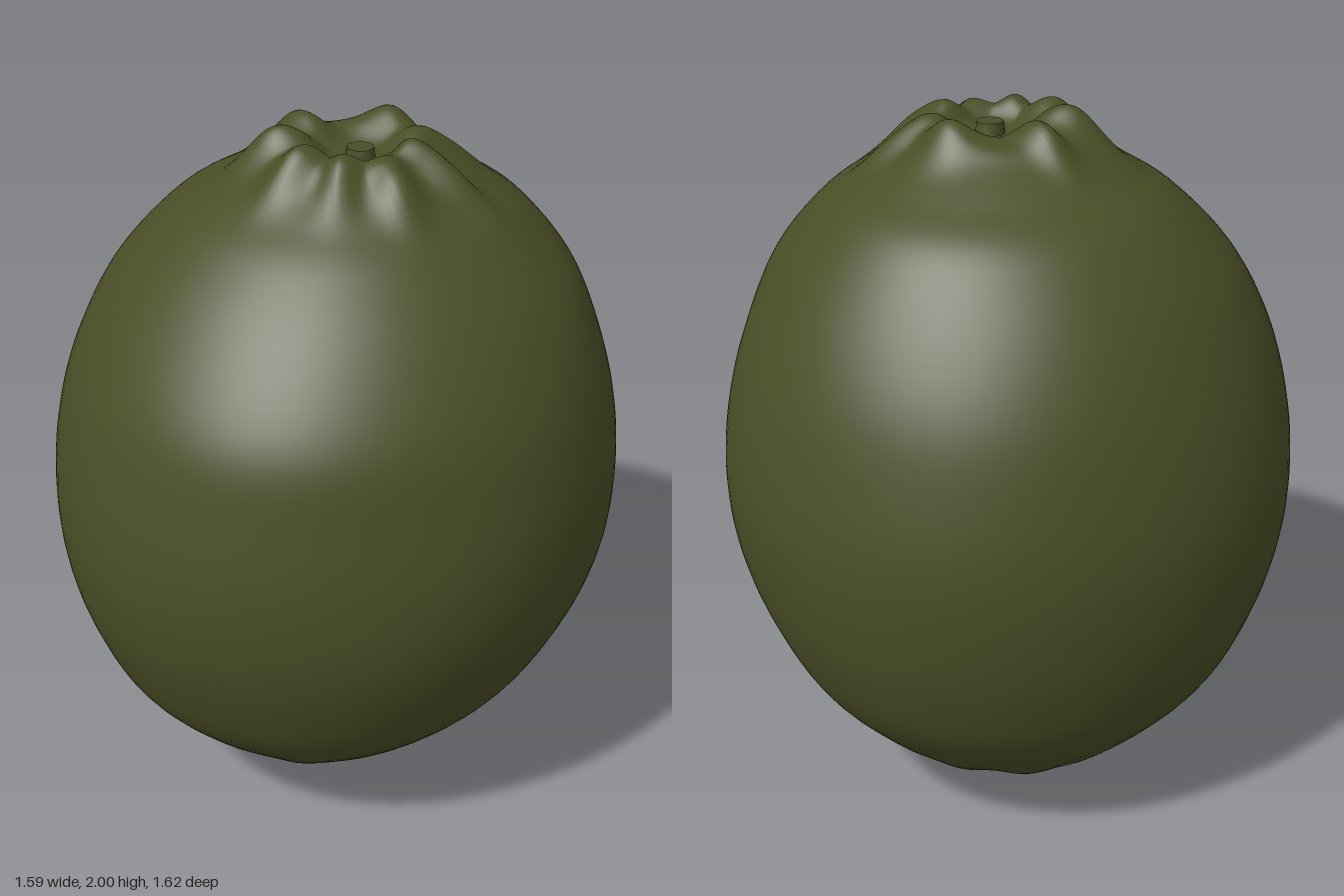
import * as THREE from 'three';

// Cross-sections from bottom to top: height, then extents at -x, +x, -z, +z
const SECTIONS = [
  [0.003, 0.05, 0.05, 0.0, 0.0],
  [0.012, 0.01, 0.09, -0.04, 0.04],
  [0.05, -0.03, 0.135, -0.08, 0.07],
  [0.082, -0.14, 0.165, -0.13, 0.12],
  [0.105, -0.25, 0.21, -0.21, 0.18],
  [0.14, -0.37, 0.28, -0.35, 0.29],
  [0.2, -0.45, 0.37, -0.47, 0.42],
  [0.4, -0.64, 0.58, -0.66, 0.63],
  [0.6, -0.735, 0.7, -0.75, 0.735],
  [0.8, -0.785, 0.77, -0.795, 0.795],
  [1.0, -0.795, 0.79, -0.807, 0.81],
  [1.2, -0.77, 0.775, -0.775, 0.785],
  [1.4, -0.71, 0.725, -0.715, 0.735],
  [1.6, -0.61, 0.64, -0.605, 0.6],
  [1.76, -0.465, 0.505, -0.48, 0.45],
  [1.84, -0.34, 0.39, -0.35, 0.34],
  [1.9, -0.245, 0.29, -0.24, 0.25],
  [1.94, -0.17, 0.23, -0.18, 0.2],
  [1.95, -0.09, 0.19, -0.12, 0.16],
  [1.92, -0.02, 0.14, -0.05, 0.11],
  [1.915, 0.06, 0.06, 0.03, 0.03],
];

// Knobbly ridges round the stem hollow: angle (degrees), distance, length, width, height
const CROWN = { x: 0.06, z: 0.03 };
const RIDGES = [
  [-73, 0.2, 0.07, 0.08, 0.055],
  [213, 0.22, 0.1, 0.045, 0.05],
  [171, 0.22, 0.1, 0.05, 0.06],
  [133, 0.21, 0.09, 0.05, 0.05],
  [95, 0.19, 0.08, 0.045, 0.042],
  [54, 0.22, 0.08, 0.055, 0.055],
  [12, 0.22, 0.13, 0.045, 0.055],
  [-30, 0.23, 0.12, 0.05, 0.045],
];

function crownLift(x, z) {
  const dx = x - CROWN.x, dz = z - CROWN.z;
  let lift = 0;
  for (const [deg, dist, length, width, height] of RIDGES) {
    const a = THREE.MathUtils.degToRad(deg);
    const along = (dx * Math.cos(a) + dz * Math.sin(a) - dist) / length;
    const across = (dz * Math.cos(a) - dx * Math.sin(a)) / width;
    lift = Math.max(lift, height * Math.exp(-along * along - across * across));
  }
  return lift;
}

function createBodyGeometry(rings = 120, segments = 112) {
  const curveX = new THREE.CatmullRomCurve3(
    SECTIONS.map(([y, l, r]) => new THREE.Vector3(l, y, r)), false, 'catmullrom', 0.5);
  const curveZ = new THREE.CatmullRomCurve3(
    SECTIONS.map(([y, , , b, f]) => new THREE.Vector3(b, y, f)), false, 'catmullrom', 0.5);
  const positions = [], indices = [];

  for (let i = 0; i <= rings; i++) {
    const px = curveX.getPoint(i / rings), pz = curveZ.getPoint(i / rings);
    const cx = (px.x + px.z) / 2, rx = (px.z - px.x) / 2;
    const cz = (pz.x + pz.z) / 2, rz = (pz.z - pz.x) / 2;
    // Fine wrinkles fade out above the blossom end
    const wrinkle = 0.012 * Math.exp(-(((px.y - 0.15) / 0.1) ** 2));
    for (let j = 0; j < segments; j++) {
      const a = (j / segments) * Math.PI * 2;
      const k = 1 - 0.018 * Math.sin(2 * a) + 0.003 * Math.sin(5 * a + 4 * px.y)
        + wrinkle * (Math.sin(9 * a + 1) + Math.sin(14 * a + 20 * px.y));
      const x = cx + rx * k * Math.cos(a), z = cz + rz * k * Math.sin(a);
      const lift = px.y > 1.5 ? crownLift(x, z) : 0;
      positions.push(x, px.y + lift, z);
    }
  }
  for (let i = 0; i < rings; i++) {
    for (let j = 0; j < segments; j++) {
      const n = (j + 1) % segments;
      const a = i * segments + j, b = i * segments + n;
      const c = a + segments, d = b + segments;
      if (i < rings - 1) indices.push(a, c, d);
      if (i > 0) indices.push(a, d, b);
    }
  }
  const geometry = new THREE.BufferGeometry();
  geometry.setAttribute('position', new THREE.Float32BufferAttribute(positions, 3));
  geometry.setIndex(indices);
  // Close both ends on the shared pole points
  const index = geometry.getIndex();
  for (let k = 0; k < index.count; k++) {
    const v = index.getX(k);
    if (v < segments) index.setX(k, 0);
    else if (v >= rings * segments) index.setX(k, rings * segments);
  }
  geometry.computeVertexNormals();
  return geometry;
}

export function createModel() {
  const peel = new THREE.MeshStandardMaterial({ color: 0x4a4e26 });
  peel.name = 'dark green peel';

  const model = new THREE.Group();
  model.name = 'citrusFruit';

  const body = new THREE.Mesh(createBodyGeometry(), peel);
  body.name = 'fruitBody';
  model.add(body);

  // Small stem scar in the middle of the crown hollow
  const scar = new THREE.Mesh(new THREE.CylinderGeometry(0.036, 0.045, 0.06, 16), peel);
  scar.name = 'stemScar';
  scar.position.set(0.065, 1.92, 0.035);
  model.add(scar);

  return model;
}
